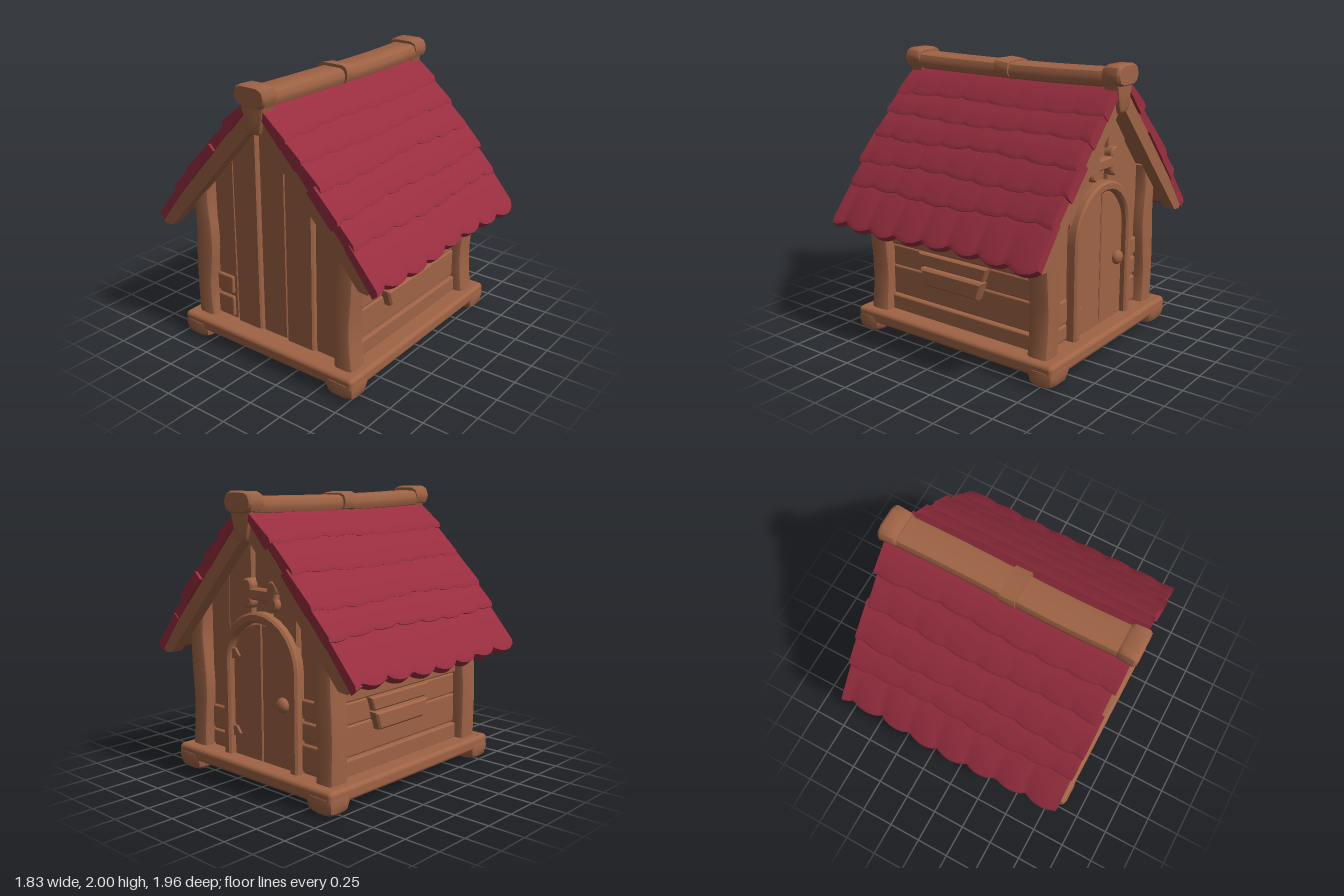
import * as THREE from 'three';
import { toCreasedNormals } from 'three/addons/utils/BufferGeometryUtils.js';
import { RoundedBoxGeometry } from 'three/addons/geometries/RoundedBoxGeometry.js';

const wood = new THREE.MeshStandardMaterial({ color: 0x9f6345 });
wood.name = 'brown wood';
const red = new THREE.MeshStandardMaterial({ color: 0x992e40 });
red.name = 'red shingle';

function add(parent, name, geometry, material = wood, x = 0, y = 0, z = 0) {
  const mesh = new THREE.Mesh(geometry, material);
  mesh.name = name;
  mesh.position.set(x, y, z);
  parent.add(mesh);
  return mesh;
}

function group(parent, name, x = 0, y = 0, z = 0, turn = 0) {
  const g = new THREE.Group();
  g.name = name;
  g.position.set(x, y, z);
  g.rotation.y = turn;
  parent.add(g);
  return g;
}

const box = (w, h, d, r = 0.015) => new RoundedBoxGeometry(w, h, d, 2, r);

// Skin over a row of equal-sized rings of [x, y, z] points, closed at both ends
function loft(rings) {
  const n = rings[0].length, last = (rings.length - 1) * n, index = [];
  for (let j = 0; j < rings.length - 1; j++) {
    for (let i = 0; i < n; i++) {
      const a = j * n + i, b = j * n + (i + 1) % n;
      index.push(a, b, b + n, a, b + n, a + n);
    }
  }
  for (let i = 1; i < n - 1; i++) index.push(0, i + 1, i, last, last + i, last + i + 1);
  const g = new THREE.BufferGeometry();
  g.setAttribute('position', new THREE.Float32BufferAttribute(rings.flat(2), 3));
  g.setIndex(index);
  return toCreasedNormals(g, 0.7);
}

// Rounded beam; sections are [along, centreU, centreV, halfU, halfV]
function beam(axis, sections, radius) {
  return loft(sections.map(([t, cu, cv, hu, hv]) => {
    const ring = [];
    for (let k = 0; k < 4; k++) {
      const su = k === 0 || k === 3 ? 1 : -1, sv = k < 2 ? 1 : -1;
      for (let s = 0; s < 3; s++) {
        const a = (k + s / 2) * Math.PI / 2;
        const u = cu + su * (hu - radius) + radius * Math.cos(a);
        const v = cv + sv * (hv - radius) + radius * Math.sin(a);
        ring.push(axis === 'y' ? [v, t, u] : [t, u, v]);
      }
    }
    return ring;
  }));
}

function extrude(shape, depth, bevel = 0.01) {
  return toCreasedNormals(new THREE.ExtrudeGeometry(shape, {
    depth: depth - bevel, bevelSize: bevel, bevelThickness: bevel, bevelOffset: -bevel,
    bevelSegments: 1, curveSegments: 12,
  }), 0.6);
}

const polygon = (pts) => new THREE.Shape(pts.map(([x, y]) => new THREE.Vector2(x, y)));
const roofY = (z) => 1.81 - Math.abs(z) * 1.089;

// Points along the door arch
function archPoints(r, from, to) {
  const pts = [];
  for (let i = 0; i <= 14; i++) {
    const a = from + (to - from) * i / 14;
    pts.push([r * Math.cos(a), 0.84 + r * Math.sin(a)]);
  }
  return pts;
}

function buildDoor(parent) {
  const door = group(parent, 'door', 0.01, 0, 0.69);
  const outer = [[0.365, 0.16], ...archPoints(0.365, 0, Math.PI), [-0.365, 0.16]];
  const inner = [[-0.295, 0.16], ...archPoints(0.295, Math.PI, 0), [0.295, 0.16]];
  add(door, 'doorFrame', extrude(polygon([...outer, ...inner]), 0.085, 0.015));
  const right = [[0.004, 0.17], [0.285, 0.17], ...archPoints(0.285, 0, Math.PI / 2 - 0.014)];
  const left = right.map(([x, y]) => [-x, y]).reverse();
  add(door, 'rightDoorBoard', extrude(polygon(right), 0.045, 0.006));
  add(door, 'leftDoorBoard', extrude(polygon(left), 0.045, 0.006));
  add(door, 'doorKnob', new THREE.SphereGeometry(0.052, 16, 10), wood, 0.21, 0.61, 0.055).scale.z = 0.75;
  for (const y of [0.34, 0.89]) {
    const hinge = polygon([[-0.29, y - 0.04], [-0.21, y - 0.01], [-0.25, y + 0.04], [-0.29, y + 0.04]]);
    add(door, 'hinge', extrude(hinge, 0.06, 0.006));
  }
  // Bone plaque over the door
  const bone = new THREE.Shape(), rad = Math.PI / 180;
  bone.absarc(0.122, -0.052, 0.05, 165 * rad, 405 * rad);
  bone.absarc(0.122, 0.052, 0.05, -45 * rad, 195 * rad);
  bone.absarc(-0.122, 0.052, 0.05, -15 * rad, 225 * rad);
  bone.absarc(-0.122, -0.052, 0.05, 135 * rad, 375 * rad);
  add(door, 'bonePlaque', extrude(bone, 0.07, 0.012), wood, 0.005, 1.322, 0);
}

// Upright boards cut to the roof line
function buildGable(parent, seams) {
  for (let i = 0; i < seams.length - 1; i++) {
    const a = seams[i] + 0.004, b = seams[i + 1] - 0.004, top = [[b, roofY(b)], [a, roofY(a)]];
    if (a < 0 && b > 0) top.splice(1, 0, [0, roofY(0)]);
    add(parent, 'gableBoard', extrude(polygon([[a, 0.15], [b, 0.15], ...top]), 0.04 + 0.018 * (i % 2), 0.012),
      wood, 0, 0, 0.66);
  }
}

// Long wall: level boards and a box-shaped plaque
function buildSideWall(parent) {
  [[0.16, 0.28, 0.63], [0.285, 0.5, 0.61], [0.5, 0.655, 0.605], [0.66, 1.08, 0.62]].forEach(([y0, y1, z]) =>
    add(parent, 'wallBoard', box(1.34, y1 - y0, 0.08), wood, 0, (y0 + y1) / 2, z - 0.04));
  const x = -0.045;
  add(parent, 'plaqueTop', extrude(polygon([[-0.27, 0.565], [0.27, 0.565], [0.305, 0.66], [-0.305, 0.66]]), 0.06),
    wood, x, 0, 0.59);
  add(parent, 'plaquePocket', extrude(polygon([[-0.235, 0.43], [0.235, 0.43], [0.275, 0.555], [-0.275, 0.555]]), 0.08, 0.015),
    wood, x, 0, 0.59);
}

// One roof slope; n is outward, d runs down the slope
function buildSlope(parent, rows, phase) {
  const at = (x, n, d) => [x, 1.85 + 0.677 * n - 0.737 * d, 0.03 + 0.737 * n + 0.677 * d];
  const slab = (x0, x1, n0, n1, d1) => loft([x0, x1].map((x) =>
    [at(x, n0, -0.03), at(x, 0, -0.03), at(x, 0, d1), at(x, n1, d1), at(x, n0, d1 - 0.05)]));
  add(parent, 'roofDeck', slab(-0.83, 0.83, -0.045, -0.04, 1.32));
  add(parent, 'gableTrim', slab(0.77, 0.86, -0.105, -0.06, 1.33));
  add(parent, 'gableTrim', slab(-0.86, -0.77, -0.105, -0.06, 1.33));
  let start = 0, before = 0.055;
  rows.forEach(([end, butt], k) => {
    const rings = [], half = 0.872 + 0.013 * Math.sin(k * 2.4 + phase), eave = k === rows.length - 1;
    const under = eave ? -0.03 : -0.005;
    for (let i = 0; i <= 64; i++) {
      const x = half * (i / 32 - 1);
      const tab = Math.sqrt(Math.abs(Math.sin(x * 13.5 + k * 1.3 + phase)));
      const d = end + (eave ? 0.055 : 0.025) * (tab - 1) + 0.012 * Math.sin(x * 5 + k * 2);
      rings.push([at(x, -0.005, start), at(x, before - 0.02, start), at(x, butt, d - 0.03),
        at(x, butt - 0.015, d), at(x, under, d)]);
    }
    add(parent, 'shingleRow', loft(rings), red);
    start = end - 0.06;
    before = butt;
  });
}

export function createModel() {
  const model = new THREE.Group();
  model.name = 'kennel';

  // Floor and feet
  const body = group(model, 'body', -0.01, 0, 0.02);
  add(body, 'floorSlab', box(1.72, 0.1, 1.52, 0.03), wood, 0, 0.12, 0);
  for (const sx of [-1, 1]) for (const sz of [-1, 1]) {
    const x = sx * 0.765, z = sz * 0.65;
    add(body, 'foot', beam('y', [[0, z, x, 0.08, 0.065], [0.025, z, x, 0.11, 0.09],
      [0.08, z, x, 0.12, 0.102], [0.12, z, x, 0.115, 0.1]], 0.05));
  }

  // Solid core behind the boards
  const core = polygon([[-0.56, 0.12], [0.56, 0.12], [0.56, roofY(0.56)], [0, roofY(0)], [-0.56, roofY(0.56)]]);
  const coreGeo = new THREE.ExtrudeGeometry(core, { depth: 1.34, bevelEnabled: false });
  add(body, 'core', coreGeo.translate(0, 0, -0.67).rotateY(Math.PI / 2));

  // Crooked corner posts, narrowed under the roof
  for (const sx of [-1, 1]) for (const sz of [-1, 1]) {
    const sections = [];
    for (let i = 0; i <= 10; i++) {
      const y = 0.15 + 0.09 * i, w = Math.sin(y * 7 + sz);
      sections.push([y, sz * (0.615 + 0.012 * w), sx * 0.7, 0.077 + 0.006 * Math.cos(y * 9), 0.082]);
    }
    sections.push([1.21, sz * 0.575, sx * 0.7, 0.04, 0.08]);
    add(body, 'cornerPost', beam('y', sections, 0.035));
  }

  // Walls
  for (const turn of [0, Math.PI]) buildSideWall(group(body, 'sideWall', 0, 0, 0, turn));
  const doorEnd = group(body, 'doorEnd', 0, 0, 0, Math.PI / 2);
  buildGable(doorEnd, [-0.55, -0.34, -0.09, 0.1, 0.34, 0.55]);
  buildDoor(doorEnd);
  for (const [x, y, h] of [[-0.45, 0.24, 0.11], [-0.45, 0.39, 0.17], [0.45, 0.28, 0.19], [0.45, 0.46, 0.13], [0.45, 0.61, 0.13]])
    add(doorEnd, 'patchBoard', box(0.17, h, 0.05), wood, x, y, 0.695);
  const plainEnd = group(body, 'plainEnd', 0, 0, 0, -Math.PI / 2);
  buildGable(plainEnd, [-0.55, -0.36, -0.13, 0.1, 0.34, 0.55]);
  for (const [x, y, h] of [[-0.47, 0.26, 0.16], [-0.47, 0.43, 0.14]])
    add(plainEnd, 'patchBoard', box(0.15, h, 0.05), wood, x, y, 0.695);

  // Roof slopes
  buildSlope(group(model, 'frontSlope', -0.005, 0, 0.005),
    [[0.29, 0.075], [0.48, 0.085], [0.67, 0.09], [0.88, 0.08], [1.08, 0.065], [1.375, 0.035]], 0.6);
  buildSlope(group(model, 'backSlope', 0, 0, 0.005, Math.PI),
    [[0.28, 0.075], [0.54, 0.075], [0.81, 0.075], [1.02, 0.065], [1.365, 0.035]], 2.1);

  // Ridge beam with centre strap, end caps and hanging brackets
  const ridge = group(model, 'ridge', -0.005, 0, 0.02);
  const log = [];
  for (let i = 0; i <= 12; i++) {
    const x = -0.86 + 1.72 * i / 12;
    log.push([x, 1.898 + 0.018 * x * x, 0.006 * Math.sin(x * 4), 0.058, 0.113]);
  }
  add(ridge, 'ridgeBeam', beam('x', log, 0.045));
  add(ridge, 'ridgeStrap', beam('x', [[-0.08, 1.912, 0, 0.065, 0.128], [0.035, 1.908, 0, 0.058, 0.128]], 0.045));
  for (const s of [-1, 1]) {
    const cap = [[0.78, 1.925, 0, 0.062, 0.118], [0.8, 1.93, 0, 0.068, 0.124],
      [0.895, 1.93, 0, 0.07, 0.13], [0.915, 1.93, 0, 0.06, 0.118]];
    const sections = cap.map(([x, ...rest]) => [s * x, ...rest]);
    add(ridge, 'ridgeCap', beam('x', s > 0 ? sections : sections.reverse(), 0.055));
    add(ridge, 'ridgeBracket', beam('y', [[1.68, 0, s * 0.835, 0.045, 0.04], [1.7, 0, s * 0.835, 0.058, 0.055],
      [1.82, 0, s * 0.835, 0.085, 0.057], [1.9, 0, s * 0.835, 0.105, 0.057]], 0.02));
  }
  return model;
}
